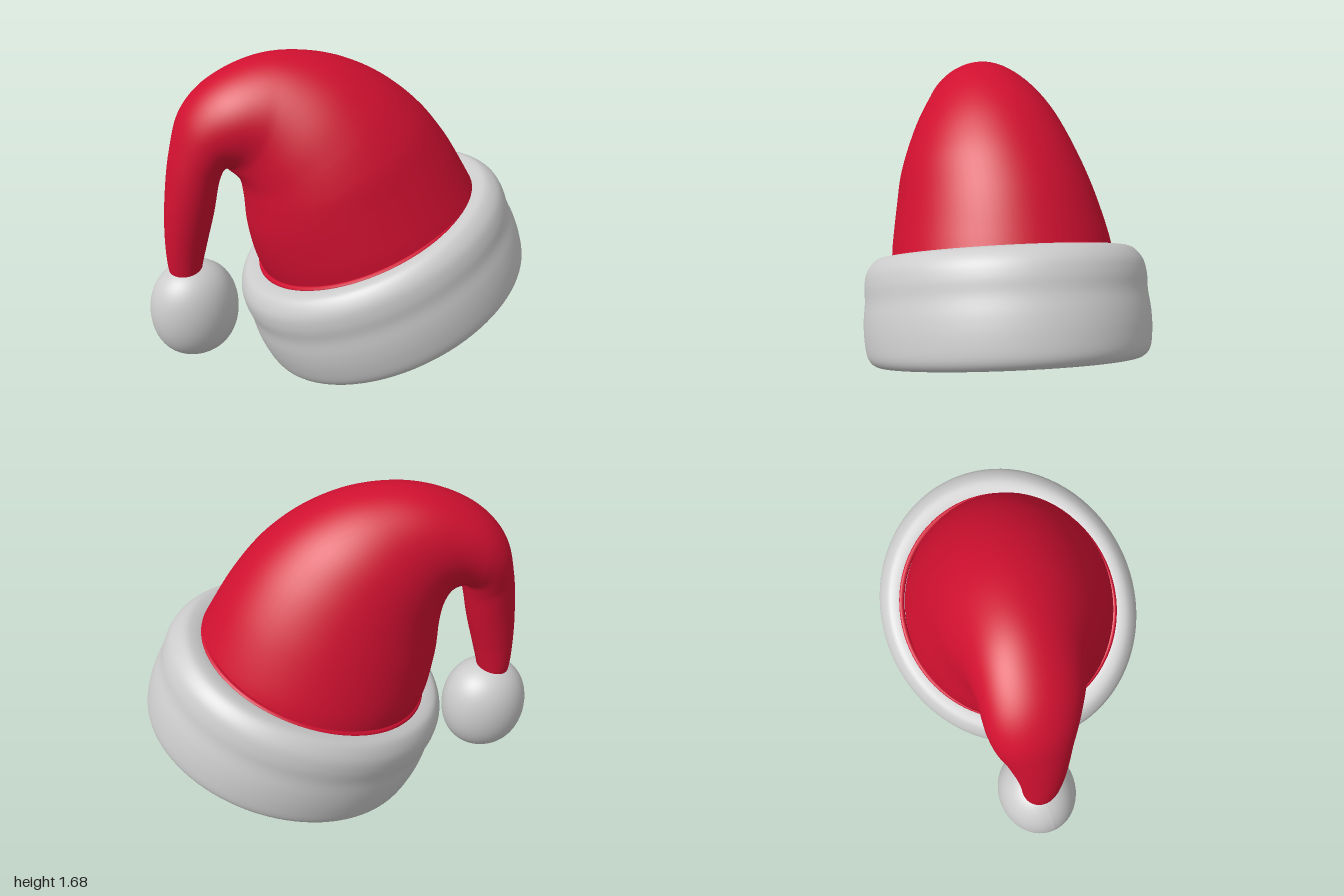
import * as THREE from 'three';

const grey = new THREE.MeshStandardMaterial({ color: 0xcccccc });
const red = new THREE.MeshStandardMaterial({ color: 0xd01030, side: THREE.DoubleSide });

// Cross-sections along the folded cone:
// inner x, inner y, outer x, outer y, centre z, half depth, forward lift
const SECTIONS = [
  [-0.40, 0.46, 0.72, 0.86, -0.025, 0.56, 0.07],
  [-0.46, 0.62, 0.66, 0.98, -0.045, 0.54, 0.07],
  [-0.50, 0.80, 0.53, 1.20, -0.055, 0.49, 0.05],
  [-0.51, 0.95, 0.37, 1.39, -0.06, 0.44, 0.03],
  [-0.52, 1.04, 0.16, 1.55, -0.08, 0.385, 0.01],
  [-0.54, 1.09, -0.08, 1.645, -0.11, 0.325, 0],
  [-0.57, 1.12, -0.35, 1.66, -0.165, 0.265, 0],
  [-0.585, 1.13, -0.61, 1.56, -0.21, 0.235, 0],
  [-0.595, 1.12, -0.75, 1.42, -0.235, 0.20, 0],
  [-0.61, 1.06, -0.825, 1.22, -0.245, 0.16, 0],
  [-0.64, 0.90, -0.87, 1.00, -0.25, 0.13, 0],
  [-0.68, 0.74, -0.89, 0.78, -0.26, 0.105, 0],
  [-0.715, 0.60, -0.885, 0.60, -0.27, 0.09, 0],
  [-0.73, 0.52, -0.87, 0.52, -0.27, 0.08, 0],
];

// Loft smooth elliptical rings through the sections
function hatGeometry(rings = 110, sides = 72) {
  const curve = (f) => new THREE.CatmullRomCurve3(SECTIONS.map(f));
  const inner = curve((s) => new THREE.Vector3(s[0], s[1], s[4]));
  const outer = curve((s) => new THREE.Vector3(s[2], s[3], s[4]));
  const depth = curve((s) => new THREE.Vector3(0, s[6], s[5]));
  const pos = [], idx = [];
  for (let i = 0; i <= rings; i++) {
    const t = i / rings;
    const a = inner.getPoint(t), b = outer.getPoint(t), e2 = depth.getPoint(t);
    const centre = a.clone().add(b).multiplyScalar(0.5);
    const e1 = b.clone().sub(centre);
    for (let j = 0; j < sides; j++) {
      const th = (j / sides) * Math.PI * 2;
      const p = centre.clone().addScaledVector(e1, Math.cos(th)).addScaledVector(e2, Math.sin(th));
      pos.push(p.x, p.y, p.z);
      if (i < rings) {
        const q = i * sides + j, r = i * sides + ((j + 1) % sides);
        idx.push(q, q + sides, r, r, q + sides, r + sides);
      }
    }
  }
  const g = new THREE.BufferGeometry();
  g.setAttribute('position', new THREE.Float32BufferAttribute(pos, 3));
  g.setIndex(idx);
  g.computeVertexNormals();
  return g;
}

// Brim profile: inner ceiling with ledge, inner wall, rolled bottom, outer wall, rolled top
function brimGeometry() {
  const profile = [
    [0, 0.49], [0.25, 0.49], [0.44, 0.485], [0.46, 0.45], [0.525, 0.41], [0.535, 0.36], [0.535, 0.20],
    [0.54, 0.10], [0.565, 0.035], [0.615, 0], [0.655, 0.008], [0.685, 0.05], [0.697, 0.14],
    [0.697, 0.23], [0.688, 0.32], [0.688, 0.40], [0.673, 0.47], [0.63, 0.525], [0.58, 0.535], [0.52, 0.525],
  ].map(([r, y]) => new THREE.Vector2(r, y));
  const pts = new THREE.SplineCurve(profile).getPoints(95);
  pts.forEach((p) => { p.x = Math.max(p.x, 0); });
  return new THREE.LatheGeometry(pts, 96);
}

// Ball with slightly blunted poles
function pompomGeometry() {
  const g = new THREE.SphereGeometry(1, 48, 32);
  const p = g.attributes.position;
  for (let i = 0; i < p.count; i++) {
    const y = p.getY(i);
    p.setXYZ(i, p.getX(i) * 0.23, y * (1 - 0.12 * y * y) * 0.293, p.getZ(i) * 0.205);
  }
  g.computeVertexNormals();
  return g;
}

export function createModel() {
  const group = new THREE.Group();
  const add = (parent, name, geometry, material) => {
    const mesh = new THREE.Mesh(geometry, material);
    mesh.name = name;
    parent.add(mesh);
    return mesh;
  };

  add(group, 'foldedCone', hatGeometry(), red);

  // Oval brim and seam, tipped sideways and slightly back
  const band = new THREE.Group();
  band.name = 'band';
  band.position.set(0.298, 0.24, 0.025);
  band.quaternion.setFromUnitVectors(
    new THREE.Vector3(0, 1, 0), new THREE.Vector3(-0.335, 0.93, -0.13).normalize());
  group.add(band);
  add(band, 'brim', brimGeometry(), grey).scale.x = 1.1;
  const seam = add(band, 'seam', new THREE.TorusGeometry(0.558, 0.014, 10, 96).rotateX(Math.PI / 2), red);
  seam.scale.x = 1.06;
  seam.position.y = 0.53;

  add(group, 'pompom', pompomGeometry(), grey).position.set(-0.77, 0.348, -0.27);

  return group;
}
